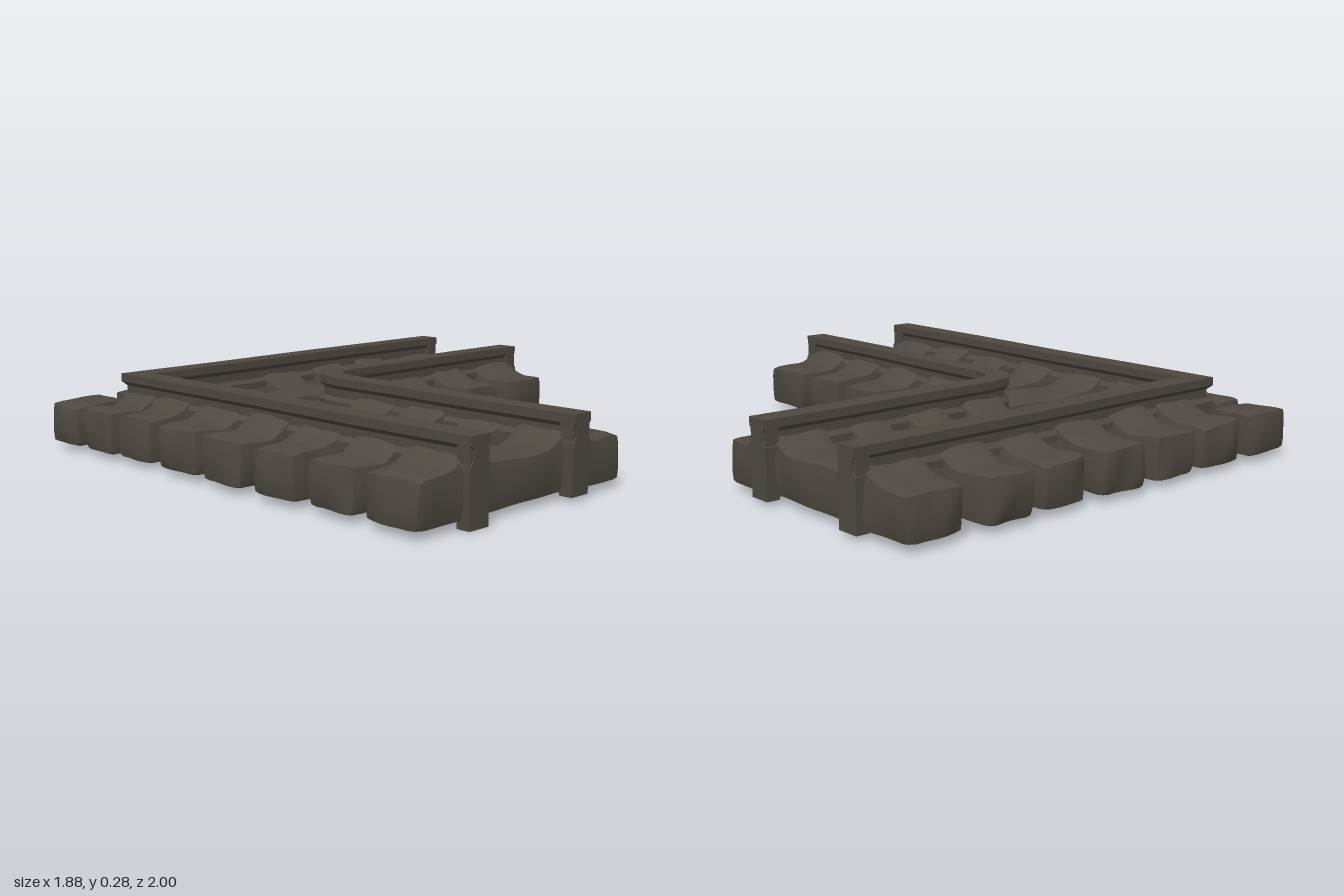
import * as THREE from 'three';
import { mergeVertices, toCreasedNormals } from 'three/addons/utils/BufferGeometryUtils.js';

const iron = new THREE.MeshStandardMaterial({ color: 0x4d4840 });
iron.name = 'dark weathered iron';

// smooth repeatable wobble for the hand-carved look
const wobble = (a, b, c) => Math.sin(a * 9.1 + c) * Math.sin(b * 11.3 + c * 2.3) + 0.5 * Math.sin(a * 23 + b * 7 + c * 1.7);

function addMesh(group, name, geo, crease = 0.7) {
  const mesh = new THREE.Mesh(toCreasedNormals(geo, crease), iron);
  mesh.name = name;
  group.add(mesh);
}

// rough block with bevelled rim; rails = positions along its length where the top rises to a rail chair
function block(len, wid, y0, y1, seed, rails = []) {
  const h = y1 - y0, bevel = 0.025;
  let geo = new THREE.BoxGeometry(len, h, wid, Math.max(4, Math.round(len / 0.035)), 4, 6);
  geo.deleteAttribute('uv');
  geo.deleteAttribute('normal');
  geo = mergeVertices(geo);
  const p = geo.attributes.position;
  const half = [len / 2, h / 2, wid / 2];
  for (let i = 0; i < p.count; i++) {
    const v = [p.getX(i), p.getY(i), p.getZ(i)];
    const [x, y, z] = v;
    // pull edges and corners onto a rounded rim
    const inner = v.map((c, k) => THREE.MathUtils.clamp(c, -half[k] + bevel, half[k] - bevel));
    const d = new THREE.Vector3(...v.map((c, k) => c - inner[k]));
    if (d.length() > bevel) d.setLength(bevel);
    let [nx, ny, nz] = [inner[0] + d.x, inner[1] + d.y, inner[2] + d.z];
    // waist between the rails
    if (rails.length === 2 && x > rails[0] + 0.05 && x < rails[1] - 0.05) nz *= 0.88;
    nz += 0.007 * wobble(x, y, seed) * (0.4 + Math.abs(z) / wid);
    nx += 0.006 * wobble(z * 2, y * 2, seed + 4);
    if (y > 0) {
      ny += 0.006 * wobble(x, z, seed + 2) * (y / half[1]);
      for (const r of rails) ny += Math.max(0, 1 - Math.abs(x - r) / 0.1) * 0.055 * (y / half[1]);
    }
    p.setXYZ(i, nx, ny, nz);
  }
  return geo.translate(0, (y0 + y1) / 2, 0);
}

// sweep a closed section along a mitred ground path
function sweep(section, path) {
  const pos = [], idx = [], n = section.length, m = path.length;
  const sides = path.slice(1).map((q, i) => {
    const dx = q[0] - path[i][0], dz = q[1] - path[i][1], l = Math.hypot(dx, dz);
    return new THREE.Vector2(dz / l, -dx / l);
  });
  path.forEach(([x, z], i) => {
    const a = sides[Math.max(0, i - 1)], b = sides[Math.min(m - 2, i)];
    const s = a.clone().add(b).normalize();
    s.divideScalar(s.dot(a));
    for (const [u, y] of section) pos.push(x + s.x * u, y, z + s.y * u);
  });
  for (let i = 0; i < m - 1; i++) for (let j = 0; j < n; j++) {
    const a = i * n + j, b = i * n + (j + 1) % n;
    idx.push(a, b, b + n, a, b + n, a + n);
  }
  const caps = THREE.ShapeUtils.triangulateShape(section.map(q => new THREE.Vector2(...q)), []);
  const e = (m - 1) * n;
  for (const [a, b, c] of caps) idx.push(c, b, a, a + e, b + e, c + e);
  const geo = new THREE.BufferGeometry();
  geo.setAttribute('position', new THREE.Float32BufferAttribute(pos, 3));
  geo.setIndex(idx);
  return geo;
}

export function createModel() {
  const model = new THREE.Group();
  model.name = 'cornerTrack';

  // sleepers lying along x: [x0, x1, z0, z1]
  const alongX = [
    [-0.93, 0.06, 0.73, 0.96], [-0.93, 0.05, 0.49, 0.69], [-0.94, 0.06, 0.23, 0.44], [-0.94, 0.06, -0.03, 0.18],
    [-0.93, -0.08, -0.3, -0.08], [-0.92, -0.08, -0.55, -0.35], [-0.93, -0.66, -0.76, -0.57], [-0.93, -0.7, -0.98, -0.8],
  ];
  alongX.forEach(([x0, x1, z0, z1], i) => {
    const c = (x0 + x1) / 2;
    const rails = i < 4 ? [-0.695 - c, -0.205 - c] : i < 7 ? [-0.695 - c] : [];
    const geo = block(x1 - x0, z1 - z0, 0.02, 0.18, i * 1.9, rails);
    addMesh(model, 'sideSleeper', geo.translate(c, 0, (z0 + z1) / 2));
  });

  // sleepers lying along z
  const alongZ = [
    [-0.64, -0.43, -0.99, -0.7], [-0.38, -0.18, -0.99, -0.7], [-0.12, 0.09, -1, -0.05],
    [0.16, 0.35, -0.99, -0.04], [0.41, 0.6, -1, -0.04], [0.67, 0.9, -0.98, -0.04],
  ];
  alongZ.forEach(([x0, x1, z0, z1], i) => {
    const c = (z0 + z1) / 2;
    const rails = i > 1 ? [c + 0.265, c + 0.735] : [c + 0.735];
    if (i > 1) rails.sort((a, b) => a - b);
    const geo = block(z1 - z0, x1 - x0, 0.02, 0.18, 20 + i * 2.3, rails);
    addMesh(model, 'backSleeper', geo.rotateY(Math.PI / 2).translate((x0 + x1) / 2, 0, c));
  });

  // filled bed inside the corner
  addMesh(model, 'cornerBed', block(0.66, 0.48, 0.02, 0.145, 41).translate(-0.32, 0, -0.33));
  addMesh(model, 'cornerBedBack', block(0.43, 0.22, 0.02, 0.15, 43).translate(-0.39, 0, -0.63));

  // rails with a head, web and foot
  const section = [
    [-0.045, 0.17], [0.045, 0.17], [0.045, 0.195], [0.028, 0.21], [0.028, 0.24],
    [0.043, 0.255], [0.043, 0.285], [-0.043, 0.285], [-0.043, 0.255], [-0.028, 0.24], [-0.028, 0.21], [-0.045, 0.195],
  ];
  const outer = [[-0.695, 0.99], [-0.7, 0.5], [-0.69, 0], [-0.695, -0.4], [-0.695, -0.735], [-0.3, -0.73], [0.2, -0.74], [0.93, -0.735]];
  const inner = [[-0.205, 0.99], [-0.21, 0.5], [-0.2, 0.15], [-0.205, -0.12], [-0.185, -0.2], [-0.14, -0.25],
    [-0.06, -0.27], [0.3, -0.265], [0.6, -0.27], [0.93, -0.265]];
  addMesh(model, 'outerRail', sweep(section, outer), 0.5);
  addMesh(model, 'innerRail', sweep(section, inner), 0.5);

  // rail ends turned down to the ground over the last sleepers
  for (const [k, low] of [[-0.695, 0], [-0.205, 0.015]]) {
    const plate = new THREE.BoxGeometry(0.085, 0.26 - low, 0.05);
    addMesh(model, 'frontRailEnd', plate.translate(k, (0.26 + low) / 2, 0.96));
  }
  for (const z of [-0.735, -0.265]) {
    const plate = new THREE.BoxGeometry(0.05, 0.245, 0.085);
    addMesh(model, 'sideRailEnd', plate.translate(0.9, 0.1375, z));
  }
  return model;
}
